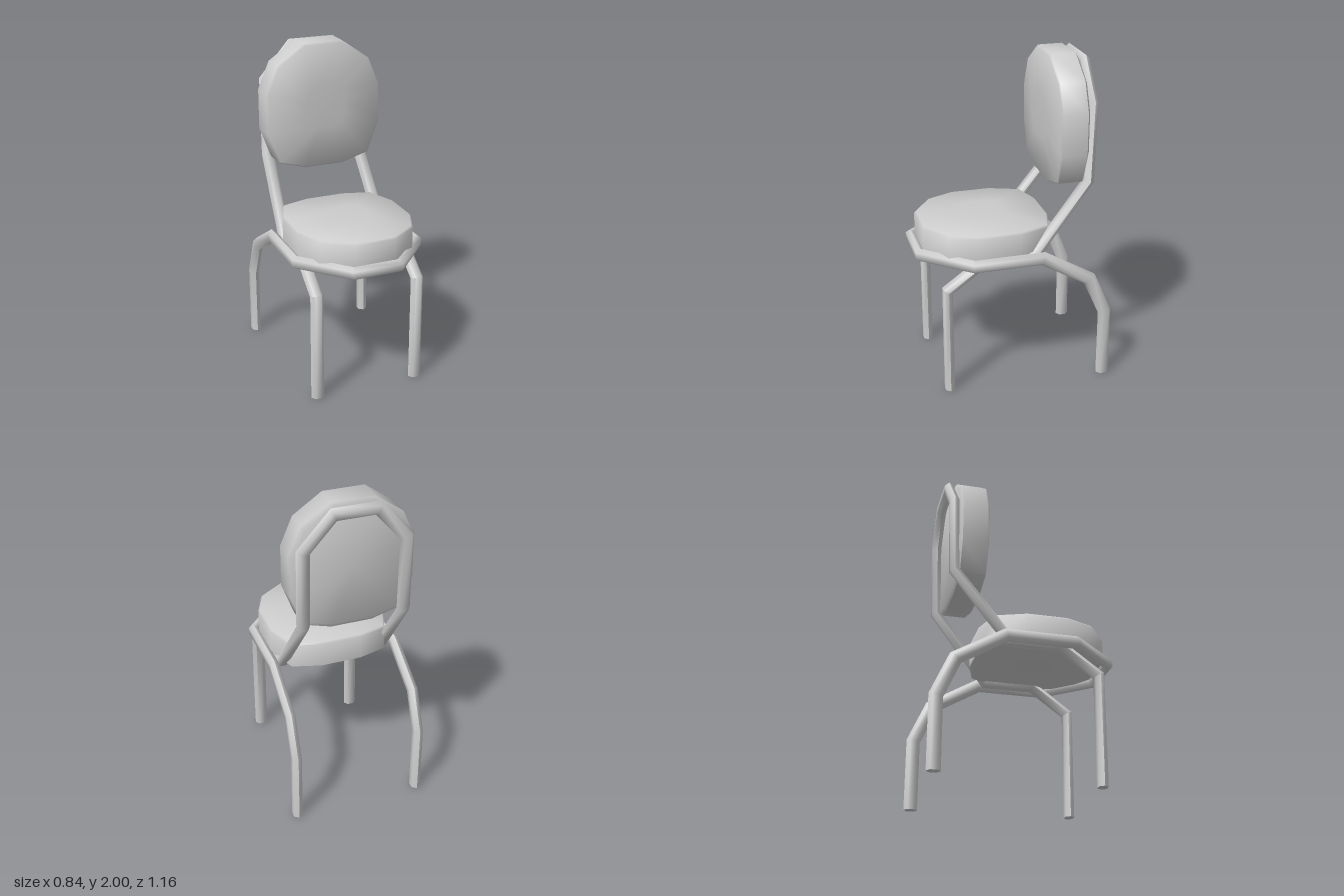
import * as THREE from 'three';
import { toCreasedNormals } from 'three/addons/utils/BufferGeometryUtils.js';

const material = new THREE.MeshStandardMaterial({ color: 0xcccccc });

// Joins equal-length rings of points into a surface, closing both ends.
function loft(rings, crease) {
  const n = rings[0].length, pos = [], idx = [];
  const centre = (ring) => ring.reduce((s, p) => s.add(p), new THREE.Vector3()).divideScalar(n);
  rings.forEach((ring) => ring.forEach((p) => pos.push(p.x, p.y, p.z)));
  const last = rings.length - 1;
  const startCap = rings.length * n, endCap = startCap + 1;
  [centre(rings[0]), centre(rings[last])].forEach((p) => pos.push(p.x, p.y, p.z));
  for (let j = 0; j < n; j++) {
    const k = (j + 1) % n;
    for (let i = 0; i < last; i++) {
      const a = i * n + j, b = i * n + k;
      idx.push(a, b, b + n, a, b + n, a + n);
    }
    idx.push(startCap, k, j, endCap, last * n + j, last * n + k);
  }
  const geometry = new THREE.BufferGeometry();
  geometry.setAttribute('position', new THREE.Float32BufferAttribute(pos, 3));
  geometry.setIndex(idx);
  return toCreasedNormals(geometry, crease);
}

// Flattened six-sided tube with mitred bends; `narrow` is the thin axis at the start.
function bentTube(points, narrow, thin = 0.0275, wide = 0.041, sides = 6) {
  const dirs = points.slice(1).map((p, i) => p.clone().sub(points[i]).normalize());
  const n = narrow.clone();
  const rings = points.map((p, i) => {
    const d = dirs[Math.min(i, dirs.length - 1)];
    const before = dirs[Math.max(i - 1, 0)];
    const mitre = before.clone().add(d);
    // carry the thin axis round the bend
    n.applyQuaternion(new THREE.Quaternion().setFromUnitVectors(before, d));
    const b = d.clone().cross(n);
    return Array.from({ length: sides }, (_, j) => {
      const a = (j / sides) * Math.PI * 2 + Math.PI / 2;
      const v = n.clone().multiplyScalar((Math.cos(a) * thin) / Math.cos(Math.PI / 6))
        .addScaledVector(b, Math.sin(a) * wide);
      return v.addScaledVector(d, -v.dot(mitre) / d.dot(mitre)).add(p);
    });
  });
  return loft(rings, 1.2);
}

// Path given on the left side, continued by its mirror image on the right.
function mirroredPath(coords) {
  const left = coords.map((c) => new THREE.Vector3(...c));
  const right = left.map((p) => new THREE.Vector3(-p.x, p.y, p.z)).reverse();
  return [...left, ...right];
}

// Twelve-cornered pad, slightly domed towards +z.
function cushion() {
  const half = [[0.125, -0.39], [0.298, -0.34], [0.37, -0.15], [0.37, 0.1], [0.298, 0.27], [0.125, 0.39]];
  const outline = [...half, ...half.map(([x, y]) => [-x, y]).reverse()];
  const profile = [[0.94, 0], [1, 0.015], [1, 0.165], [0.975, 0.176], [0.34, 0.195]]; // scale, height
  return loft(profile.map(([s, z]) => outline.map(([x, y]) => new THREE.Vector3(x * s, y * s, z))), 0.95);
}

export function createModel() {
  const chair = new THREE.Group();
  chair.name = 'chair';
  const add = (name, geometry) => {
    const mesh = new THREE.Mesh(geometry, material);
    mesh.name = name;
    chair.add(mesh);
    return mesh;
  };

  // Front legs, running under the seat and up into the backrest loop
  add('frontLegsAndBackLoop', bentTube(mirroredPath([
    [0.325, 0, 0.43], [0.325, 0.675, 0.43], [0.325, 0.84, 0.2], [0.325, 0.84, -0.105],
    [0.305, 1.275, -0.44], [0.305, 1.75, -0.452], [0.13, 1.95, -0.457],
  ]), new THREE.Vector3(0, 0, 1)));

  // Rear legs, running forward into the rail around the seat
  add('rearLegsAndSeatRail', bentTube(mirroredPath([
    [0.393, 0, -0.54], [0.393, 0.435, -0.54], [0.393, 0.67, -0.435],
    [0.393, 0.843, -0.14], [0.393, 0.843, 0.28], [0.145, 0.843, 0.553],
  ]), new THREE.Vector3(1, 0, 0)));

  // Cushions share one shape
  const pad = cushion();
  add('backCushion', pad).position.set(0, 1.61, -0.42);
  const seat = add('seatCushion', pad);
  seat.position.set(0, 0.837, 0.14);
  seat.rotation.set(-Math.PI / 2, 0, Math.PI);

  return chair;
}
